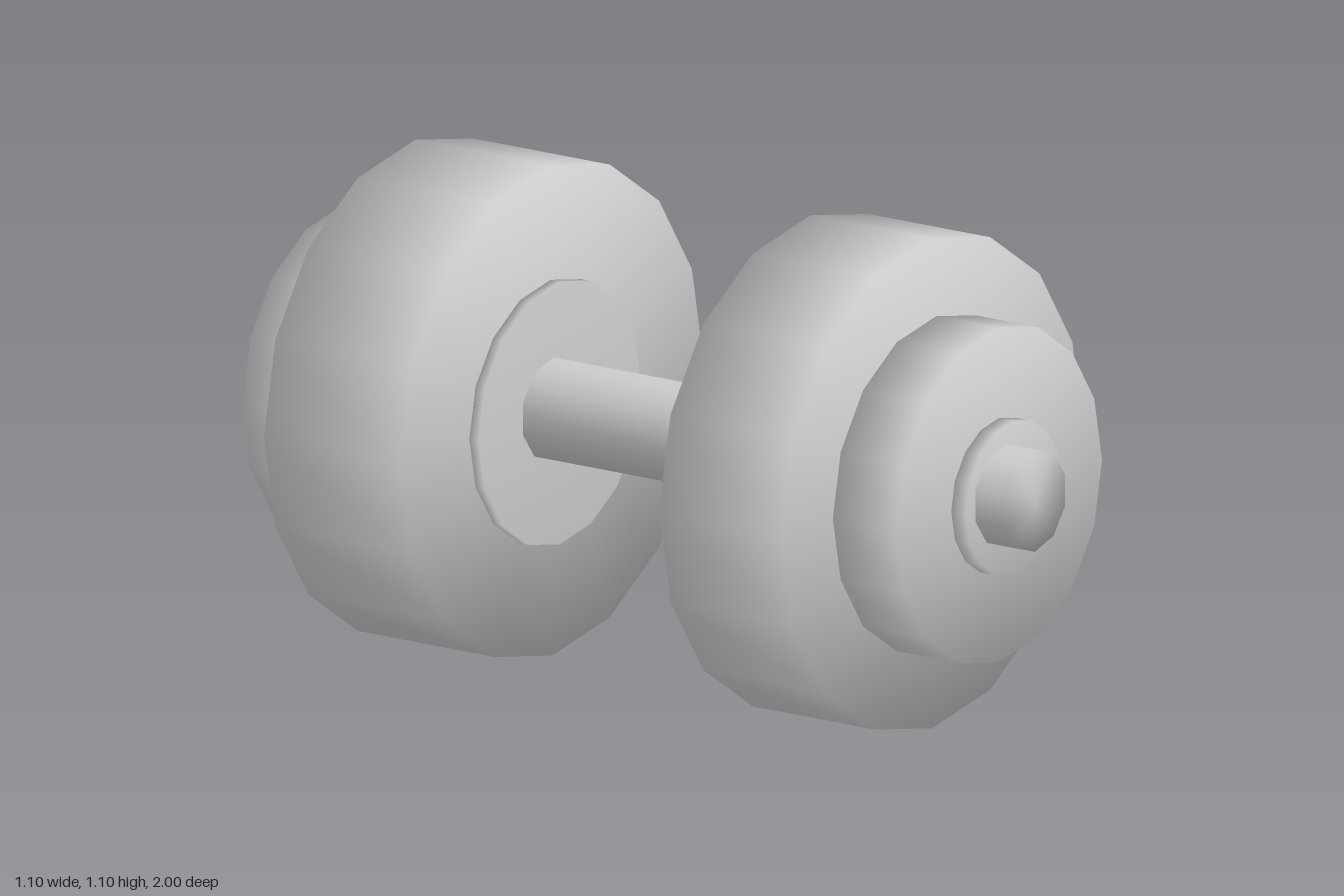
import * as THREE from 'three';
import { mergeVertices } from 'three/addons/utils/BufferGeometryUtils.js';

const material = new THREE.MeshStandardMaterial({ color: 0xcccccc });

// Closed disc along z with normals shared between rim and caps
function disc(name, radius, sides, z0, z1, x = 0, y = 0.55) {
  let geometry = new THREE.CylinderGeometry(radius, radius, z1 - z0, sides);
  geometry.deleteAttribute('uv');
  geometry.deleteAttribute('normal');
  geometry = mergeVertices(geometry, 1e-4);
  geometry.rotateX(Math.PI / 2);
  geometry.computeVertexNormals();
  const mesh = new THREE.Mesh(geometry, material);
  mesh.name = name;
  mesh.position.set(x, y, (z0 + z1) / 2);
  return mesh;
}

export function createModel() {
  const model = new THREE.Group();
  model.name = 'dumbbell';

  // Handle bar, set slightly off the plate axis
  model.add(disc('bar', 0.115, 10, -1, 1, -0.03, 0.565));

  // Weights at each end; the two ends are spaced a little differently
  const ends = [
    { name: 'front', inner: [0.34, 0.37], large: [0.37, 0.7], small: [0.71, 0.88], outer: [0.88, 0.92] },
    { name: 'back', inner: [-0.33, -0.305], large: [-0.7, -0.33], small: [-0.89, -0.725], outer: [-0.925, -0.89] },
  ];
  for (const end of ends) {
    const weights = new THREE.Group();
    weights.name = end.name + 'Weights';
    weights.add(
      disc('innerCollar', 0.295, 16, ...end.inner, -0.005),
      disc('largePlate', 0.55, 16, ...end.large),
      disc('smallPlate', 0.375, 16, ...end.small, 0, 0.552),
      disc('outerCollar', 0.173, 16, ...end.outer, 0, 0.552),
    );
    model.add(weights);
  }
  return model;
}
